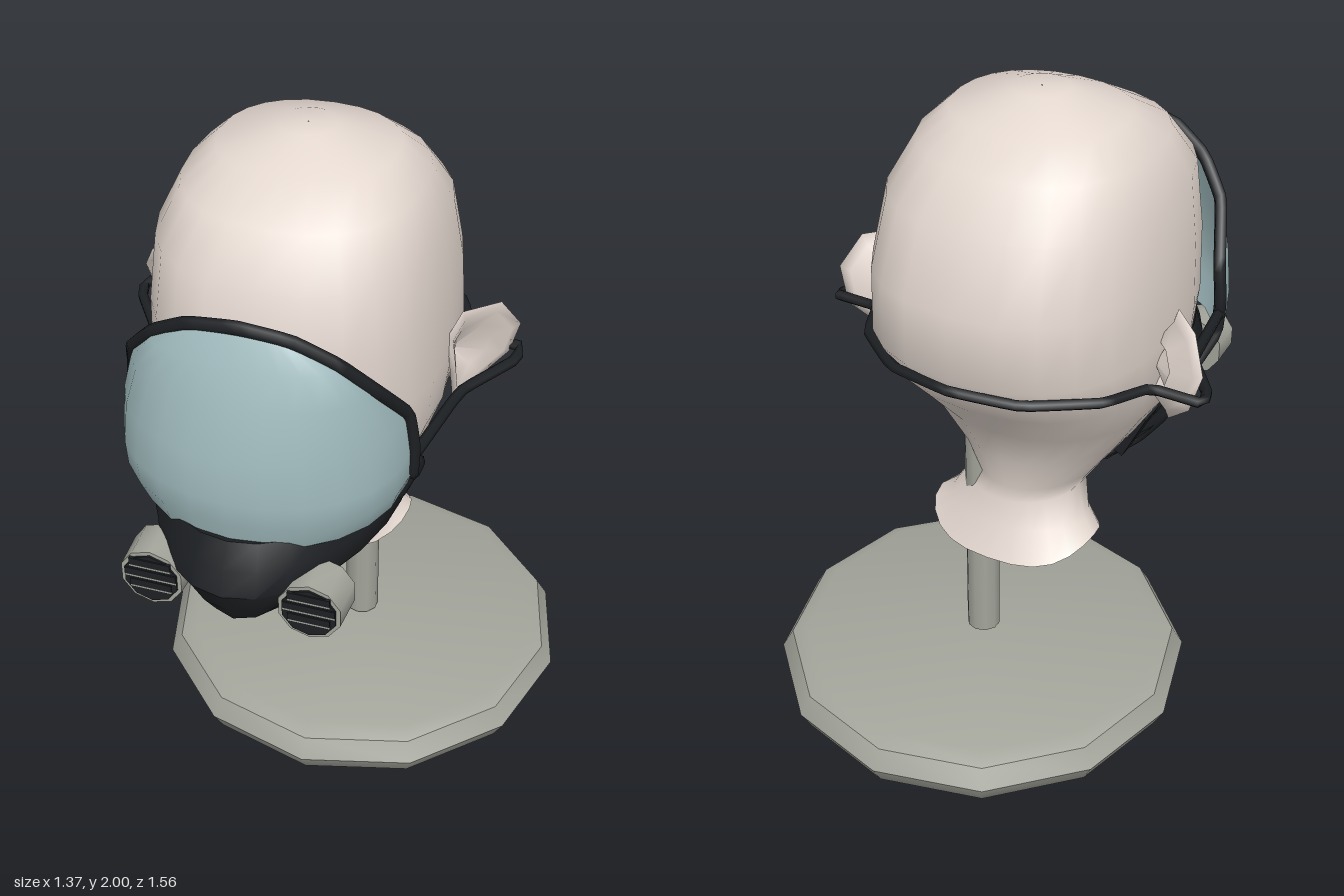
import * as THREE from 'three';
import { toCreasedNormals } from 'three/addons/utils/BufferGeometryUtils.js';

const CX = -0.085; // centre line of the head
const mat = (color) => new THREE.MeshStandardMaterial({ color, side: THREE.DoubleSide });
const V = (x, y, z) => new THREE.Vector3(x, y, z);

// Skin through rows of points; closed rows wrap round
function loft(rows, closed) {
  const n = rows[0].length, index = [];
  for (let r = 0; r < rows.length - 1; r++) {
    for (let i = 0; i < (closed ? n : n - 1); i++) {
      const a = r * n + i, b = r * n + (i + 1) % n;
      index.push(a, b, a + n, b, b + n, a + n);
    }
  }
  const g = new THREE.BufferGeometry().setFromPoints(rows.flat());
  g.setIndex(index);
  g.computeVertexNormals();
  return g;
}

// Bowed sheet: rows of [y, half width, edge z, front z]
function bowed(rows, power) {
  return loft(rows.map(([y, w, zEdge, zFront]) => {
    const row = [];
    for (let i = 0; i <= 12; i++) {
      const a = (i / 12 - 0.5) * Math.PI;
      row.push(V(CX + w * Math.sin(a), y, zEdge + (zFront - zEdge) * Math.max(0, Math.cos(a)) ** power));
    }
    return row;
  }), false);
}

function cord(points, closed, radius) {
  const curve = new THREE.CatmullRomCurve3(points, closed, 'catmullrom', 0.12);
  return new THREE.TubeGeometry(curve, points.length * 4, radius, 6, closed);
}

export function createModel() {
  const model = new THREE.Group();
  const skin = mat(0xe3d7cf), stone = mat(0xa3a59b), black = mat(0x1d2023), glass = mat(0x9fb9bc);
  const add = (name, geometry, material, x = 0, y = 0, z = 0) => {
    const m = new THREE.Mesh(geometry, material);
    m.name = name;
    m.position.set(x, y, z);
    model.add(m);
    return m;
  };

  // Stand
  const profile = [[0, 0], [0.57, 0], [0.61, 0.02], [0.645, 0.085], [0.61, 0.145], [0.56, 0.165], [0, 0.165]];
  const base = new THREE.LatheGeometry(profile.map(([x, y]) => new THREE.Vector2(x, y)), 12);
  add('standBase', toCreasedNormals(base, 0.62), stone, 0.04, 0, -0.135);
  add('standPost', new THREE.CylinderGeometry(0.052, 0.052, 0.77, 10), stone, 0.04, 0.565, -0.127);

  // Head and open neck: [y, half width, back z, front z, squareness]
  const sections = [
    [2.0, 0.002, -0.002, 0.002, 1], [2.0, 0.08, -0.08, 0.08, 1], [1.945, 0.25, -0.23, 0.22, 0.9],
    [1.87, 0.33, -0.33, 0.36, 0.85], [1.75, 0.385, -0.435, 0.465, 0.8], [1.55, 0.41, -0.51, 0.5, 0.8],
    [1.35, 0.42, -0.505, 0.49, 0.8], [1.2, 0.405, -0.41, 0.47, 0.85], [1.05, 0.35, -0.28, 0.46, 0.9],
    [0.92, 0.27, -0.23, 0.41, 1], [0.81, 0.19, -0.205, 0.28, 1], [0.76, 0.175, -0.21, 0.15, 1],
    [0.68, 0.22, -0.235, 0.085, 1], [0.585, 0.265, -0.28, 0.08, 0.9],
  ];
  const pw = (v, e) => Math.sign(v) * Math.abs(v) ** e;
  const headRows = sections.map(([y, w, zb, zf, e], k) => {
    const row = [];
    for (let i = 0; i < 24; i++) {
      const a = -i / 24 * Math.PI * 2;
      const lift = k === sections.length - 1 ? 0.065 * Math.abs(Math.cos(a)) ** 4 : 0;
      row.push(V(CX + (k > 10 ? 0.02 : 0) + w * pw(Math.cos(a), e), y + lift,
        (zb + zf) / 2 + (zf - zb) / 2 * pw(Math.sin(a), e)));
    }
    return row;
  });
  add('head', loft(headRows, true), skin);
  const nose = add('nose', new THREE.ConeGeometry(0.06, 0.22, 6), skin, CX, 1.15, 0.49);
  nose.scale.z = 0.8;

  // Ears: flared shell with a hollow inside
  const rim = [[0.41, 1.41, 0.03], [0.44, 1.47, -0.02], [0.53, 1.465, -0.11], [0.58, 1.37, -0.16],
    [0.55, 1.26, -0.17], [0.47, 1.18, -0.12], [0.42, 1.155, -0.03], [0.425, 1.28, 0.03]];
  for (const s of [1, -1]) {
    const ring = (c, k) => rim.map(([x, y, z]) => {
      const p = V(...c).lerp(V(x, y, z), k);
      return V(CX + s * p.x, p.y - (s < 0 ? 0.02 : 0), p.z);
    });
    const rows = [ring([0.36, 1.3, -0.1], 0.5), ring([0.42, 1.31, -0.13], 0.8), ring([0, 0, 0], 1),
      ring([0.48, 1.31, -0.07], 0.8), ring([0.43, 1.31, -0.07], 0.5), ring([0.4, 1.31, -0.07], 0.01)];
    add(s > 0 ? 'leftEar' : 'rightEar', loft(rows, true), skin);
  }

  // Clear visor
  add('visor', bowed([
    [1.715, 0.03, 0.575, 0.58], [1.69, 0.15, 0.565, 0.595], [1.62, 0.255, 0.535, 0.63],
    [1.53, 0.33, 0.485, 0.665], [1.38, 0.39, 0.37, 0.71], [1.25, 0.405, 0.36, 0.72],
    [1.17, 0.405, 0.35, 0.71], [1.09, 0.38, 0.3, 0.69],
  ], 0.9), glass);

  // Face mask with a pointed front and closed chin
  add('mask', toCreasedNormals(bowed([
    [1.06, 0.3, 0.36, 0.5], [1.12, 0.31, 0.36, 0.715], [1.05, 0.345, 0.31, 0.755], [0.975, 0.35, 0.24, 0.78],
    [0.89, 0.29, 0.16, 0.74], [0.825, 0.225, 0.12, 0.7], [0.79, 0.19, 0.09, 0.42], [0.765, 0.12, 0.1, 0.2],
  ], 1.15), 0.7), black);

  // Rim of the visor and mask: [half width, y, z] from the crown to the chin
  const half = [[0.14, 1.695, 0.57], [0.25, 1.63, 0.54], [0.335, 1.53, 0.485], [0.395, 1.38, 0.365],
    [0.41, 1.27, 0.355], [0.405, 1.165, 0.35], [0.385, 1.095, 0.2], [0.32, 0.94, 0.19], [0.235, 0.825, 0.19],
    [0.15, 0.79, 0.09]];
  const side = (s) => half.map(([x, y, z]) => V(CX + s * x, y, z));
  add('visorRim', cord([V(CX, 1.715, 0.58), ...side(1), V(CX, 0.765, 0.19), ...side(-1).reverse()], true, 0.019), black);

  // Strap passing outside the ears and round the back of the head
  const strapHalf = [[0.41, 1.235, 0.35], [0.45, 1.245, 0.1], [0.47, 1.255, 0.04], [0.575, 1.27, -0.11],
    [0.585, 1.28, -0.175], [0.44, 1.285, -0.185], [0.37, 1.3, -0.33], [0.2, 1.315, -0.47]];
  const strap = (s) => strapHalf.map(([x, y, z]) => V(CX + s * x, y, z));
  add('strap', cord([...strap(1), V(CX, 1.325, -0.515), ...strap(-1).reverse()], false, 0.016), black);

  for (const s of [1, -1]) {
    const label = s > 0 ? 'left' : 'right';
    // Side clip
    const clip = add(label + 'Clip', new THREE.BoxGeometry(0.03, 0.17, 0.09), black, CX + s * 0.25, 0.885, 0.155);
    clip.rotation.z = -s * 0.45;

    // Filter canister: body, dark face and grille
    const x = CX + s * 0.228, y = 0.93;
    const body = new THREE.CylinderGeometry(0.092, 0.098, 0.115, 10).rotateX(Math.PI / 2);
    add(label + 'Filter', toCreasedNormals(body, 0.8), stone, x, y, 0.66);
    add(label + 'FilterFace', new THREE.CylinderGeometry(0.08, 0.08, 0.012, 10).rotateX(Math.PI / 2), black, x, y, 0.717);
    for (const k of [-1, 0, 1]) {
      add(label + 'FilterSlat', new THREE.BoxGeometry(k ? 0.12 : 0.15, 0.005, 0.006), stone, x, y + k * 0.037, 0.722);
      add(label + 'FilterBar', new THREE.BoxGeometry(k ? 0.12 : 0.15, 0.022, 0.01), black, x, y + k * 0.037 + 0.016, 0.722);
    }
  }
  return model;
}
